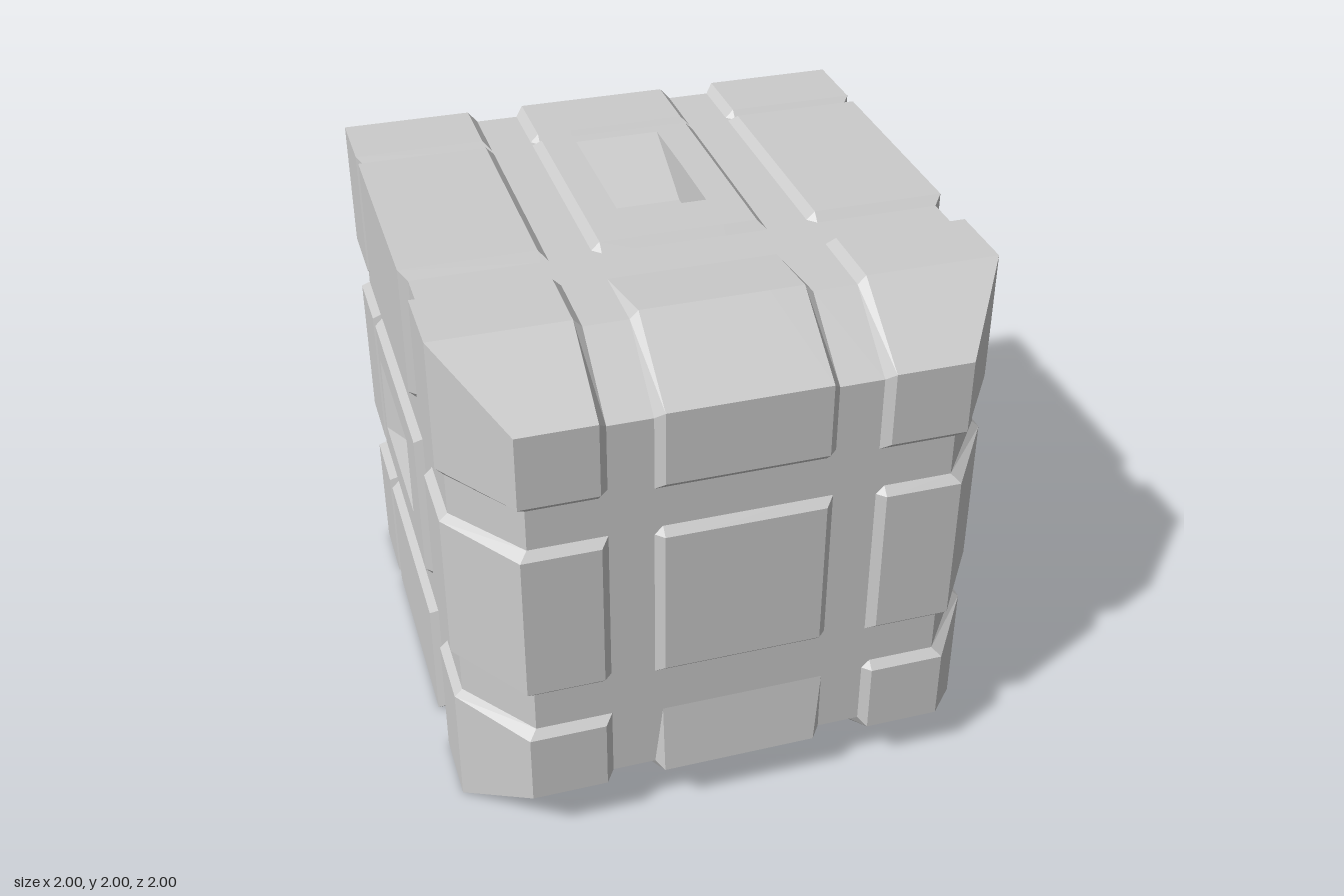
import * as THREE from 'three';

// Grid lines along each axis: panel lips, groove floors and pit rims
const half = [0.16, 0.165, 0.29, 0.32, 0.48, 0.51, 1];
const across = [...half.map((c) => -c).reverse(), ...half];
const along = [-1, -0.72, -0.69, -0.66, -0.61, -0.31, -0.005, 0, 0.2, 0.23, 0.39, 0.41, 0.69, 1];
const lines = [across, across, along];

const GROOVE = 0.03;
const PIT = 0.15;
const FRONT = 0.79; // half size of the front after bevelling

const between = (v, a, b) => v > a - 1e-4 && v < b + 1e-4;

// Is this coordinate on the floor of a groove that cuts the given axis?
const onFloor = (axis, c) => axis === 2
  ? between(c, 0.23, 0.39) || between(c, -0.69, -0.69)
  : between(Math.abs(c), 0.32, 0.48);

// Move a point of the plain cube onto the grooved, bevelled and pitted shell
function shape(p) {
  const q = [...p];
  const [x, y, z] = p;
  for (let a = 0; a < 3; a++) {
    if (Math.abs(p[a]) !== 1) continue;
    const s = Math.sign(p[a]);
    let size = z === 1 && a < 2 ? FRONT : 1;
    let sunk = [0, 1, 2].some((b) => b !== a && onFloor(b, p[b]));
    // Middle panels whose edge slopes straight out of the groove
    if (Math.abs(x) <= 0.29) {
      if (a === 1 && s > 0 && z === 0.41) sunk = true;
      if (a === 2 && s > 0 && y === -0.51) sunk = true;
    }
    if (sunk) size -= GROOVE;
    // Pit with a flat floor and a ramp rising to the back, on four sides
    const side = a === 0 ? y : x;
    if (a < 2 && Math.abs(side) <= 0.16 && between(z, -0.31, -0.005)) size -= PIT;
    q[a] = s * size;
  }
  return [q[0], q[1] + 1, q[2]];
}

// One side of the cube as a grid of flat cells
function makeFace(axis, sign) {
  const u = (axis + 1) % 3;
  const v = (axis + 2) % 3;
  const U = lines[u];
  const V = lines[v];
  const positions = [];
  const index = [];
  for (const cv of V) {
    for (const cu of U) {
      const p = [0, 0, 0];
      p[axis] = sign;
      p[u] = cu;
      p[v] = cv;
      positions.push(...shape(p));
    }
  }
  for (let j = 0; j < V.length - 1; j++) {
    for (let i = 0; i < U.length - 1; i++) {
      const a = j * U.length + i;
      const b = a + 1;
      const d = a + U.length;
      const c = d + 1;
      if (sign > 0) index.push(a, b, c, a, c, d);
      else index.push(a, c, b, a, d, c);
    }
  }
  const indexed = new THREE.BufferGeometry();
  indexed.setAttribute('position', new THREE.Float32BufferAttribute(positions, 3));
  indexed.setIndex(index);
  const geometry = indexed.toNonIndexed();
  geometry.computeVertexNormals();
  return geometry;
}

export function createModel() {
  const group = new THREE.Group();
  group.name = 'panelledCube';
  const material = new THREE.MeshStandardMaterial({ color: 0xcccccc, flatShading: true });
  const names = [['rightSide', 'leftSide'], ['bottomSide', 'topSide'], ['backSide', 'frontSide']];
  names.forEach((pair, axis) => pair.forEach((name, k) => {
    const mesh = new THREE.Mesh(makeFace(axis, k ? 1 : -1), material);
    mesh.name = name;
    group.add(mesh);
  }));
  return group;
}
